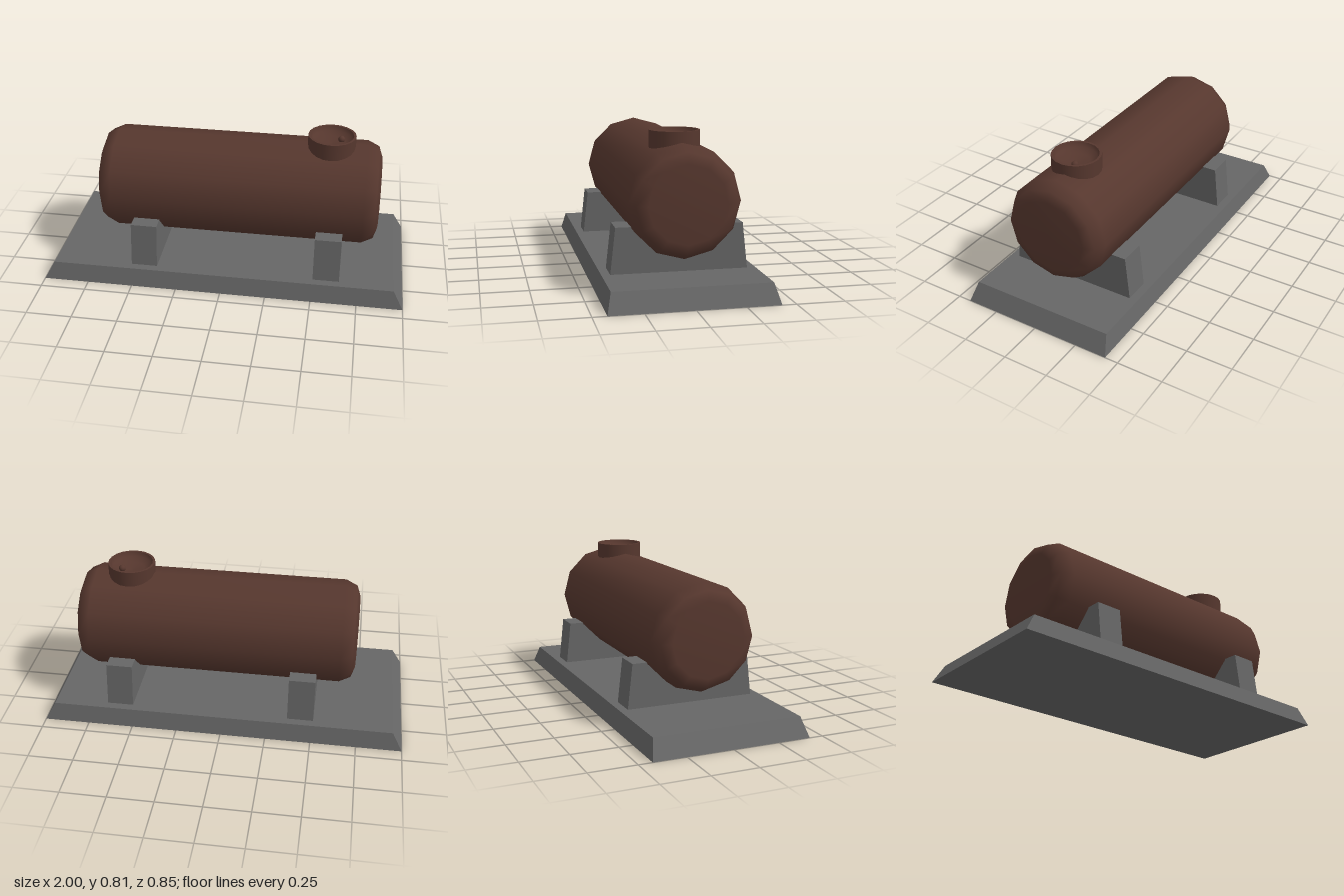
import * as THREE from 'three';

// Box along y from y0 to y1 whose top has its own half width and half depth
function taperedBlock(y0, y1, bottom, top) {
  const geo = new THREE.BoxGeometry(2, 1, 2).toNonIndexed();
  const p = geo.attributes.position;
  for (let i = 0; i < p.count; i++) {
    const up = p.getY(i) > 0;
    const [hx, hz] = up ? top : bottom;
    p.setXYZ(i, p.getX(i) * hx, up ? y1 : y0, p.getZ(i) * hz);
  }
  geo.computeVertexNormals();
  return geo;
}

const lathe = (points, sides) =>
  new THREE.LatheGeometry(points.map(([r, y]) => new THREE.Vector2(r, y)), sides);

export function createModel() {
  const model = new THREE.Group();
  const concrete = new THREE.MeshStandardMaterial({ color: 0x666666 });
  concrete.name = 'concrete grey';
  const rust = new THREE.MeshStandardMaterial({ color: 0x56372e });
  rust.name = 'rust brown';

  const add = (name, geo, mat, x = 0, y = 0, z = 0) => {
    const mesh = new THREE.Mesh(geo, mat);
    mesh.name = name;
    mesh.position.set(x, y, z);
    model.add(mesh);
    return mesh;
  };

  // Sloped slab
  add('base', taperedBlock(0, 0.1, [1, 0.427], [0.945, 0.402]), concrete);

  // Two saddles carrying the tank
  const saddle = taperedBlock(0.1, 0.34, [0.072, 0.357], [0.072, 0.33]);
  add('rightSaddle', saddle, concrete, -0.437);
  add('leftSaddle', saddle, concrete, 0.577);

  // Twelve-sided tank with bevelled ends, lying along x
  const tank = lathe([
    [0, -0.775], [0.2, -0.775], [0.256, -0.755], [0.286, -0.692],
    [0.286, 0.692], [0.256, 0.755], [0.2, 0.775], [0, 0.775],
  ], 12);
  tank.rotateZ(-Math.PI / 2);
  add('tank', tank, rust, 0.06, 0.475);

  // Filler neck, thin rim and dished lid
  const hx = 0.556, hz = 0.01;
  add('hatchNeck', lathe([[0.13, 0.66], [0.13, 0.815]], 20), rust, hx, 0, hz);
  add('hatchRim', lathe([[0.13, 0.815], [0.117, 0.815]], 20), rust, hx, 0, hz);
  add('hatchDish', lathe([[0.117, 0.815], [0.108, 0.79], [0.07, 0.772], [0, 0.766]], 20), rust, hx, 0, hz);

  // Small off-centre knob in the dish
  add('hatchKnob', new THREE.SphereGeometry(0.019, 10, 8), rust, 0.606, 0.782, -0.013);

  return model;
}
